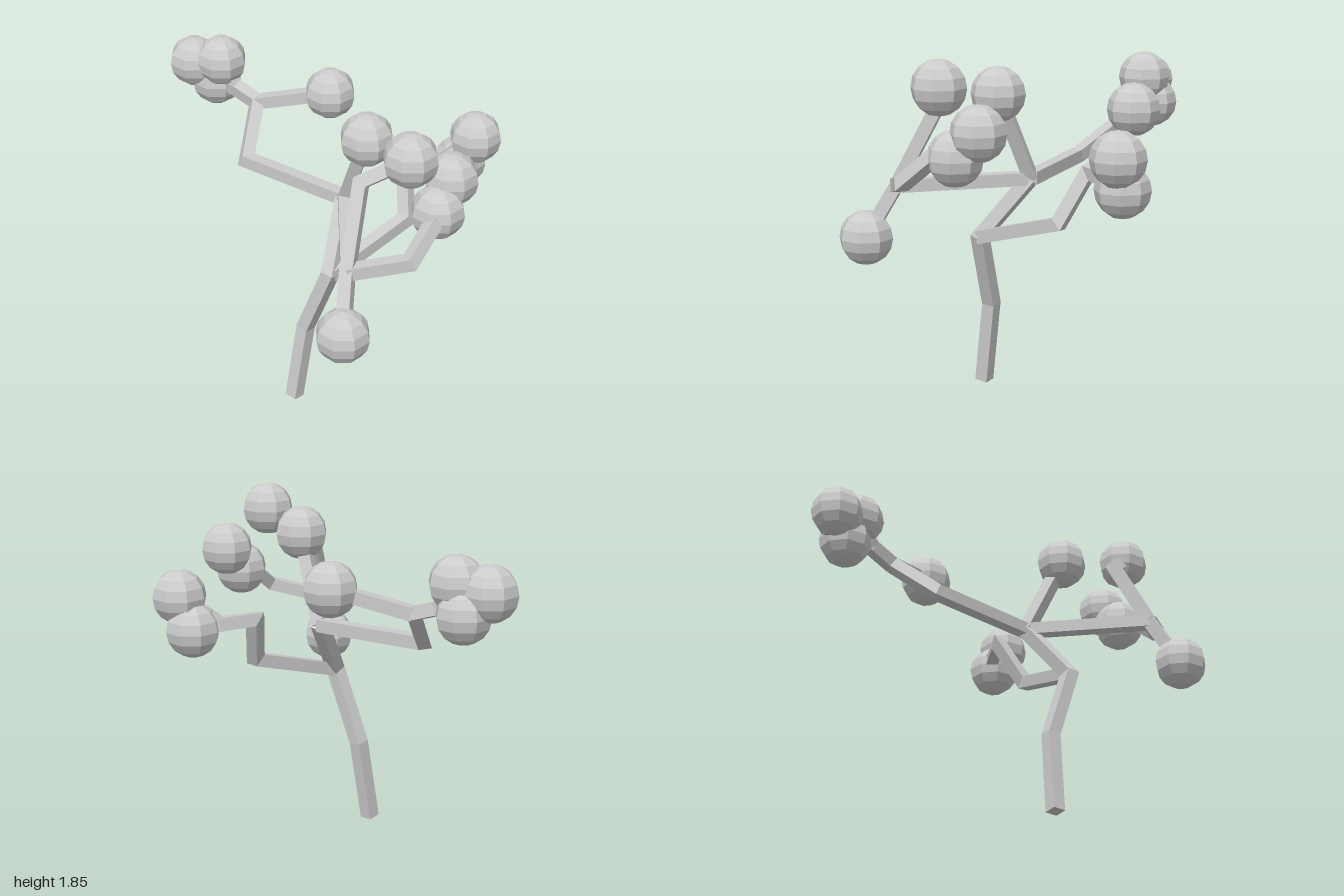
import * as THREE from 'three';

const V = (p) => new THREE.Vector3(...p);

// Square bar swept along a polyline, with mitred bends and closed ends
function squareBar(points, hint, half) {
  const p = points.map(V);
  const dirs = p.slice(1).map((q, i) => q.clone().sub(p[i]).normalize());
  const h = V(hint);
  let u = h.addScaledVector(dirs[0], -h.dot(dirs[0])).normalize();
  const pos = [], idx = [];
  p.forEach((point, i) => {
    const din = dirs[Math.max(i - 1, 0)];
    const dout = dirs[Math.min(i, dirs.length - 1)];
    const n = din.clone().add(dout);
    const v = din.clone().cross(u);
    for (const [a, b] of [[1, 1], [-1, 1], [-1, -1], [1, -1]]) {
      const c = u.clone().multiplyScalar(a * half).addScaledVector(v, b * half);
      c.addScaledVector(din, -c.dot(n) / din.dot(n)).add(point);
      pos.push(c.x, c.y, c.z);
    }
    u = u.clone().applyQuaternion(new THREE.Quaternion().setFromUnitVectors(din, dout));
    if (i === 0) return;
    for (let k = 0; k < 4; k++) {
      const a = (i - 1) * 4 + k, b = (i - 1) * 4 + (k + 1) % 4;
      idx.push(a, b, b + 4, a, b + 4, a + 4);
    }
  });
  const e = (p.length - 1) * 4;
  idx.push(0, 2, 1, 0, 3, 2, e, e + 1, e + 2, e, e + 2, e + 3);
  const g = new THREE.BufferGeometry();
  g.setAttribute('position', new THREE.Float32BufferAttribute(pos, 3));
  g.setIndex(idx);
  const flat = g.toNonIndexed();
  flat.computeVertexNormals();
  return flat;
}

export function createModel() {
  const tree = new THREE.Group();
  tree.name = 'tree';
  const material = new THREE.MeshStandardMaterial({ color: 0xcccccc, flatShading: true });

  // Foliage ball centres
  const ball = {
    leftOuter: [-0.86, 1.55, -0.635],
    leftInner: [-0.69, 1.585, -0.63],
    leftLow: [-0.74, 1.44, -0.67],
    leftMiddle: [-0.04, 1.5, -0.64],
    centre: [0.405, 1.63, 0],
    frontTop: [0.715, 1.7, 0.235],
    sideHigh: [0.86, 1.505, 0.01],
    sideLow: [0.835, 1.375, 0.13],
    backLow: [0.715, 1.225, -0.67],
    backHigh: [0.795, 1.39, -0.655],
    frontLow: [0.54, 0.89, 0.665],
  };

  // Forks
  const fork = [0.265, 0.85, 0.125];
  const crown = [0.24, 1.17, -0.14];
  const leftFork = [-0.45, 1.4, -0.57];
  const leftTip = [-0.6, 1.45, -0.6];
  const frontFork = [0.5, 1.16, 0.51];
  const sideFork = [0.86, 1.4, 0.21];
  const backTip = [0.6, 1.25, -0.6];

  const up = [0, 1, 0];
  const bars = [
    ['trunk', [[0.07, 0, 0.145], [0.115, 0.45, 0.095], fork, crown], [0.94, 0, 0.35], 0.036],
    ['leftBranch', [crown, [-0.4, 1.18, -0.3], leftFork, leftTip, ball.leftOuter], up],
    ['leftInnerTwig', [leftTip, ball.leftInner], up],
    ['leftLowTwig', [leftTip, ball.leftLow], up],
    ['leftMiddleTwig', [leftFork, ball.leftMiddle], up],
    ['centreBranch', [crown, ball.centre], [1, 0, 0]],
    ['frontBranch', [crown, frontFork], up],
    ['frontLowTwig', [frontFork, ball.frontLow], [1, 0, 0]],
    ['frontTopTwig', [frontFork, [0.485, 1.56, 0.3], ball.frontTop], [1, 0, 0]],
    ['sideBranch', [frontFork, [0.79, 1.23, 0.41], sideFork, ball.sideHigh], up],
    ['sideLowTwig', [sideFork, ball.sideLow], up],
    ['backBranch', [fork, [0.53, 1.0, -0.33], [0.46, 1.26, -0.47], backTip, ball.backLow], up],
    ['backHighTwig', [backTip, ball.backHigh], up],
  ];
  for (const [name, points, hint, half = 0.034] of bars) {
    const mesh = new THREE.Mesh(squareBar(points, hint, half), material);
    mesh.name = name;
    tree.add(mesh);
  }

  // Faceted foliage balls
  const sphere = new THREE.SphereGeometry(0.142, 8, 8);
  for (const [name, centre] of Object.entries(ball)) {
    const mesh = new THREE.Mesh(sphere, material);
    mesh.name = name + 'Foliage';
    mesh.position.set(...centre);
    tree.add(mesh);
  }
  return tree;
}
